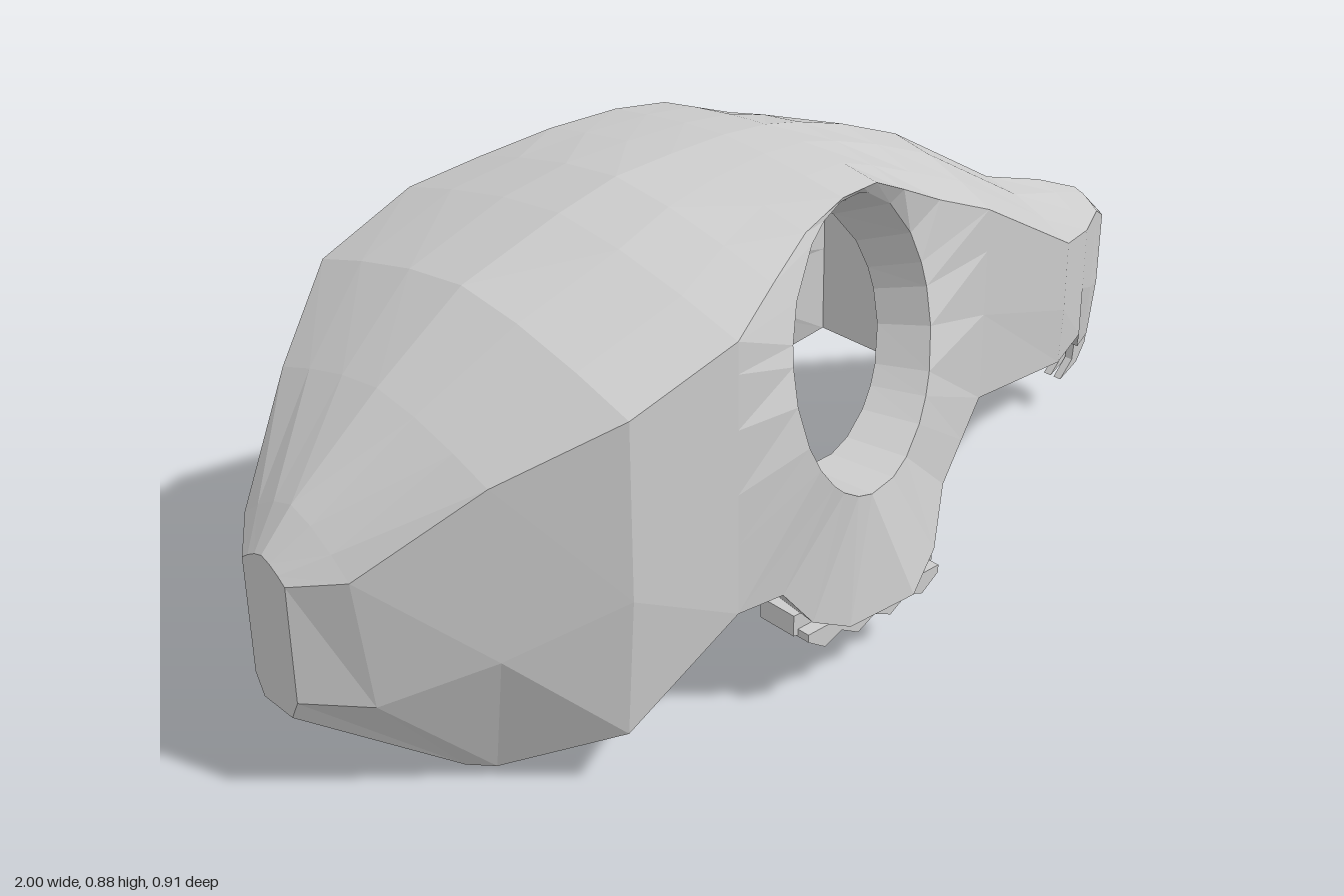
import * as THREE from 'three';

// Half-skull stations, rear to snout: x, crown y, shoulder y, shoulder z, lower edge x, y, z
const STATIONS = [
  [-1, .45, .42, .06, -1, .17, .04],
  [-.94, .515, .44, .145, -.75, .005, .14],
  [-.77, .655, .59, .275, -.73, .025, .2],
  [-.6, .775, .69, .4, -.6, .12, .38],
  [-.4, .84, .76, .42, -.4, .275, .42],
  [-.28, .87, .8, .37, -.31, .275, .43],
  [-.16, .877, .835, .32, -.25, .2, .44],
  [-.04, .88, .85, .285, -.17, .16, .45],
  [.06, .873, .843, .265, -.02, .16, .455],
  [.14, .857, .805, .255, .08, .19, .41],
  [.25, .825, .75, .24, .2, .235, .32],
  [.39, .77, .69, .235, .39, .31, .235],
  [.66, .61, .535, .21, .66, .28, .205],
  [.82, .56, .49, .13, .82, .26, .13],
  [.94, .51, .475, .06, .93, .165, .045],
  [1, .455, .44, .03, .985, .17, .025],
];
const SOCKET_START = 5, SOCKET_END = 12; // columns around the eye socket; the cavity ends at the second
const V = (x, y, z) => new THREE.Vector3(x, y, z);

// Six points from the crown down to the lower edge
function outerColumn([x, yT, yS, zS, xB, yB, zB]) {
  const roof = [0, .35, .7, 1].map(t => V(x, yS + (yT - yS) * (1 - t ** 1.5), zS * t));
  const drop = x < -.97 ? .85 : .55;
  const mid = V(x + (xB - x) * .15, yS + (yB - yS) * drop, Math.max(zS, zS + (zB - zS) * drop));
  return [...roof, mid, V(xB, yB, zB)];
}

// Inside of the bone, moved in from the outer wall
function innerColumn(column) {
  return column.map((p, j) => V(
    p.x < 0 ? p.x * .94 : p.x,
    j < 4 || p.x < -.97 ? p.y - .05 : p.y,
    p.z * .75));
}

function buildSkull() {
  const pos = [];
  // Each triangle is added with its mirror image
  const tri = (a, b, c) => {
    for (const p of [a, b, c]) pos.push(p.x, p.y, p.z);
    for (const p of [a, c, b]) pos.push(p.x, p.y, -p.z);
  };
  const quad = (a, b, c, d) => { tri(a, b, c); tri(a, c, d); };

  // Both ends close on the centre plane
  const flat = column => column.map(p => V(p.x, p.y, 0));
  const columns = STATIONS.map(outerColumn);
  const outer = [flat(columns[0]), ...columns, flat(columns[columns.length - 1])];
  const inner = outer.map(innerColumn);

  // Outer and inner walls, leaving the socket area open
  for (let i = 0; i < outer.length - 1; i++) {
    const inCavity = i < SOCKET_END;
    for (let j = 0; j < 5; j++) {
      if (j >= 3 && i >= SOCKET_START && inCavity) continue;
      quad(outer[i][j], outer[i][j + 1], outer[i + 1][j + 1], outer[i + 1][j]);
      if (inCavity) quad(inner[i][j], inner[i + 1][j], inner[i + 1][j + 1], inner[i][j + 1]);
    }
    // Rim below the cavity, closed underside below the snout
    const a = outer[i][5], b = outer[i + 1][5];
    if (inCavity) quad(a, inner[i][5], inner[i + 1][5], b);
    else quad(a, V(a.x, a.y, 0), V(b.x, b.y, 0), b);
  }

  // Wall between the cavity and the snout
  const last = inner[SOCKET_END];
  const base = V(last[5].x, last[5].y, 0);
  for (let j = 0; j < 5; j++) tri(base, last[j + 1], last[j]);

  // Edge of the socket area, counter-clockwise
  const edgeOf = cols => {
    const area = cols.slice(SOCKET_START, SOCKET_END + 1);
    return [...area.map(c => c[3]).reverse(), area[0][4],
      ...area.map(c => c[5]), area[area.length - 1][4]];
  };
  const outEdge = edgeOf(outer), inEdge = edgeOf(inner);
  const cx = -.04, cy = .608, turn = Math.PI * 2;
  const corners = outEdge.map(p => (Math.atan2(p.y - cy, p.x - cx) + turn) % turn);
  // Evenly spaced angles fill the gaps between the corners
  const fill = Array.from({ length: 24 }, (_, k) => k / 24 * turn)
    .filter(a => corners.every(b => Math.cos(a - b) < Math.cos(.13)));
  const angles = [...corners, ...fill].sort((a, b) => a - b);

  // One spoke per angle, from the socket rim out to the edge
  const spokes = angles.map(angle => {
    const c = Math.cos(angle), s = Math.sin(angle);
    const side = p => c * (p.y - cy) - s * (p.x - cx);
    const ahead = p => c * (p.x - cx) + s * (p.y - cy);
    let k = 0, t = 0;
    for (let n = 0; n < outEdge.length; n++) {
      const p = outEdge[n], q = outEdge[(n + 1) % outEdge.length];
      const d0 = side(p), d1 = side(q);
      if (d0 > 1e-9 || d1 <= 1e-9) continue;
      const u = d0 / (d0 - d1);
      if (ahead(p.clone().lerp(q, u)) > 0) { k = n; t = u; break; }
    }
    const next = (k + 1) % outEdge.length;
    const x = cx + .24 * c, y = cy + .233 * s;
    const z = .345 - .35 * (x - cx) - .28 * (y - cy);
    return {
      edge: outEdge[k].clone().lerp(outEdge[next], t),
      hole: V(x, y, z),
      inHole: V(-.057 + .222 * c, .583 + .208 * s, z - .13 + .15 * (x - cx)),
      inEdge: inEdge[k].clone().lerp(inEdge[next], t),
    };
  });
  // Wall around the socket, its tunnel and the inner wall
  spokes.forEach((a, k) => {
    const b = spokes[(k + 1) % spokes.length];
    quad(a.hole, a.edge, b.edge, b.hole);
    quad(a.hole, b.hole, b.inHole, a.inHole);
    quad(a.inHole, b.inHole, b.inEdge, a.inEdge);
  });

  const geometry = new THREE.BufferGeometry();
  geometry.setAttribute('position', new THREE.Float32BufferAttribute(pos, 3));
  geometry.computeVertexNormals();
  return geometry;
}

// Side profile extruded across z, starting at zStart
function profile(points, zStart, depth) {
  const shape = new THREE.Shape(points.map(([x, y]) => new THREE.Vector2(x, y)));
  return new THREE.ExtrudeGeometry(shape, { depth, bevelEnabled: false }).translate(0, 0, zStart);
}

export function createModel() {
  const group = new THREE.Group();
  group.name = 'rodentSkull';
  const bone = new THREE.MeshStandardMaterial({
    color: 0xcccccc, flatShading: true, side: THREE.DoubleSide });
  const add = (name, geometry, mirror) => {
    const mesh = new THREE.Mesh(geometry, bone);
    mesh.name = name;
    mesh.scale.z = mirror;
    group.add(mesh);
  };

  add('cranium', buildSkull(), 1);

  // Cheek teeth: a straight row of crowns with a zigzag of cusps below
  const crowns = profile([[-.26, .2], [-.26, .16], [-.21, .15], [.03, .15], [.08, .165], [.08, .19]], .325, .08);
  const zigzag = Array.from({ length: 9 }, (_, k) => {
    const x = -.25 + .04 * k;
    return [x, (k % 2 ? .12 : .14) + .6 * (x + .09) ** 2];
  });
  const cusps = profile([[-.25, .17], ...zigzag, [.07, .17]], .35, .08);
  // Curved front teeth
  const incisor = profile([[.94, .25], [.995, .25], [.985, .15], [.96, .11],
    [.91, .085], [.945, .12], [.95, .17]], .004, .018);
  for (const [label, side] of [['Left', -1], ['Right', 1]]) {
    add('molarCrowns' + label, crowns, side);
    add('molarCusps' + label, cusps, side);
    add('incisor' + label, incisor, side);
  }
  return group;
}
